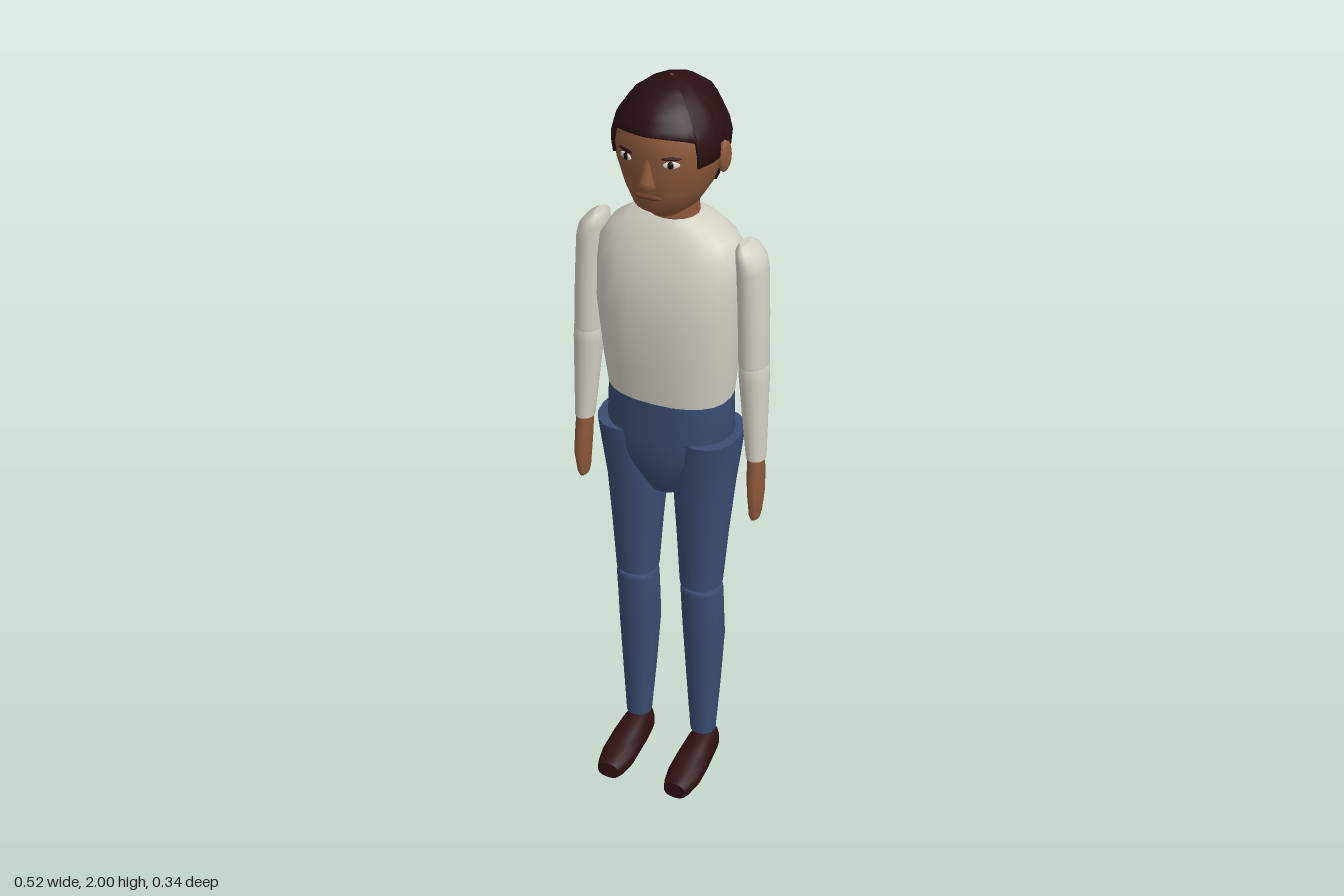
import * as THREE from 'three';

const mat = (name, color, side = THREE.FrontSide) => {
  const m = new THREE.MeshStandardMaterial({ color, side });
  m.name = name;
  return m;
};

// Smooth capped loft through elliptical rings [y, cx, cz, rx, rz]; p > 2 squares the section.
function loft(rings, n = 16, p = 2) {
  const pos = [], idx = [];
  const bend = v => Math.sign(v) * Math.abs(v) ** (2 / p);
  const addRing = ([y, cx, cz, rx, rz]) => {
    const start = pos.length / 3;
    for (let i = 0; i < n; i++) {
      const a = i / n * Math.PI * 2;
      pos.push(cx + rx * bend(Math.sin(a)), y, cz + rz * bend(Math.cos(a)));
    }
    return start;
  };
  const starts = rings.map(addRing);
  for (let j = 0; j < rings.length - 1; j++) {
    for (let i = 0; i < n; i++) {
      const k = (i + 1) % n, a = starts[j], b = starts[j + 1];
      idx.push(a + i, a + k, b + k, a + i, b + k, b + i);
    }
  }
  for (const [ring, top] of [[rings[0], false], [rings[rings.length - 1], true]]) {
    const s = addRing(ring), c = pos.length / 3;
    pos.push(ring[1], ring[0], ring[2]);
    for (let i = 0; i < n; i++) {
      const k = (i + 1) % n;
      idx.push(c, s + (top ? i : k), s + (top ? k : i));
    }
  }
  return surface(pos, idx);
}

function surface(pos, idx) {
  const g = new THREE.BufferGeometry();
  g.setAttribute('position', new THREE.Float32BufferAttribute(pos, 3));
  g.setIndex(idx);
  g.computeVertexNormals();
  return g;
}

// Skull profile: y, cz, rx, rz
const SKULL = [
  [1.663, -0.005, 0.035, 0.05], [1.7, 0, 0.078, 0.098], [1.75, -0.012, 0.108, 0.122],
  [1.8, -0.018, 0.126, 0.137], [1.85, -0.02, 0.135, 0.141], [1.9, -0.02, 0.121, 0.142],
  [1.95, -0.02, 0.088, 0.112], [1.98, -0.02, 0.045, 0.06], [1.992, -0.02, 0.004, 0.004],
];

function skullAt(y) {
  let i = 0;
  while (i < SKULL.length - 2 && y > SKULL[i + 1][0]) i++;
  const t = THREE.MathUtils.clamp((y - SKULL[i][0]) / (SKULL[i + 1][0] - SKULL[i][0]), 0, 1);
  return SKULL[i].map((v, k) => v + (SKULL[i + 1][k] - v) * t);
}

// Hair cap: each column runs from the hairline at its angle up to the crown.
function hairGeometry() {
  const line = [[0, 1.905], [20, 1.904], [42, 1.895], [52, 1.885], [53, 1.82], [70, 1.825],
    [79, 1.83], [80, 1.865], [92, 1.865], [93, 1.755], [115, 1.745], [145, 1.75], [180, 1.775]];
  const cols = [...line, ...line.slice(1, -1).reverse().map(([a, y]) => [360 - a, y])];
  const rows = 9, pos = [], idx = [], n = cols.length;
  for (const [deg, y0] of cols) {
    const a = deg * Math.PI / 180;
    for (let j = -1; j <= rows; j++) {
      const t = Math.max(j, 0) / rows;
      const y = y0 + (1.992 - y0) * (1 - (1 - t) ** 1.5);
      const [, cz, rx, rz] = skullAt(y);
      const k = j < 0 ? 0.97 : 1.055; // first row folds in to close the rim
      pos.push(rx * k * Math.sin(a), y + 0.008 * t, cz + rz * k * Math.cos(a));
    }
  }
  const r = rows + 2;
  for (let i = 0; i < n; i++) {
    const a = i * r, b = ((i + 1) % n) * r;
    for (let j = 0; j < r - 1; j++) idx.push(a + j, b + j, b + j + 1, a + j, b + j + 1, a + j + 1);
  }
  return surface(pos, idx);
}

export function createModel() {
  const model = new THREE.Group();
  model.name = 'standingPerson';
  const skin = mat('skin', 0x8c583a);
  const shirt = mat('shirt', 0xd3cfc3);
  const denim = mat('denim', 0x3a4d72);
  const hair = mat('hair', 0x290f11, THREE.DoubleSide);
  const leather = mat('shoeLeather', 0x2e0f11);
  const white = mat('eyeWhite', 0xe6e0da);
  const iris = mat('iris', 0x1a0d0a);
  const lip = mat('lip', 0x6e3d2b);

  const add = (name, geometry, material, parent = model) => {
    const m = new THREE.Mesh(geometry, material);
    m.name = name;
    parent.add(m);
    return m;
  };
  const blob = (name, material, parent, [x, y, z], [sx, sy, sz], ry = 0) => {
    const m = add(name, new THREE.SphereGeometry(1, 14, 10), material, parent);
    m.position.set(x, y, z);
    m.scale.set(sx, sy, sz);
    m.rotation.y = ry;
    return m;
  };

  // Trunk
  add('shirtBody', loft([
    [1.165, 0, -0.02, 0.16, 0.11], [1.25, 0, -0.015, 0.17, 0.115], [1.4, 0, -0.01, 0.184, 0.121],
    [1.5, 0, -0.018, 0.186, 0.114], [1.56, 0, -0.028, 0.184, 0.104], [1.6, 0, -0.034, 0.158, 0.092],
    [1.63, 0, -0.036, 0.112, 0.078], [1.648, 0, -0.036, 0.066, 0.064],
  ], 24, 2.35), shirt);
  add('pelvis', loft([
    [0.88, 0, -0.01, 0.045, 0.055], [0.91, 0, -0.012, 0.062, 0.075], [0.96, 0, -0.015, 0.115, 0.094],
    [1.0, 0, -0.016, 0.142, 0.103], [1.06, 0, -0.018, 0.164, 0.109], [1.166, 0, -0.02, 0.16, 0.11],
  ], 24, 2.3), denim);
  add('neck', loft([
    [1.62, 0, -0.034, 0.067, 0.062], [1.66, 0, -0.032, 0.063, 0.058], [1.73, 0, -0.03, 0.062, 0.058],
  ]), skin);

  // Head
  const head = new THREE.Group();
  head.name = 'head';
  model.add(head);
  add('face', loft(SKULL.map(([y, cz, rx, rz]) => [y, 0, cz, rx, rz]), 24), skin, head);
  add('hairCap', hairGeometry(), hair, head);
  add('nose', loft([
    [1.765, 0, 0.112, 0.012, 0.008], [1.775, 0, 0.117, 0.023, 0.023],
    [1.79, 0, 0.116, 0.018, 0.02], [1.845, 0, 0.114, 0.008, 0.008],
  ], 10), skin, head);
  blob('mouth', lip, head, [0, 1.744, 0.109], [0.036, 0.007, 0.007]);

  for (const s of [-1, 1]) {
    const side = s > 0 ? 'left' : 'right';

    // Eye, brow and ear
    const onFace = (x, y) => {
      const [, cz, rx, rz] = skullAt(y);
      return [s * x, y, cz + rz * Math.sqrt(1 - (x / rx) ** 2)];
    };
    blob(side + 'EyeWhite', white, head, onFace(0.058, 1.837), [0.02, 0.009, 0.004], s * 0.45);
    blob(side + 'Iris', iris, head, onFace(0.056, 1.837), [0.0095, 0.0095, 0.006], s * 0.45);
    blob(side + 'Brow', hair, head, onFace(0.058, 1.853), [0.024, 0.004, 0.004], s * 0.45);
    blob(side + 'Ear', skin, head, [s * 0.132, 1.818, -0.025], [0.013, 0.042, 0.022], s * -0.25);

    // Arm
    const arm = new THREE.Group();
    arm.name = side + 'Arm';
    model.add(arm);
    add('upperSleeve', loft([
      [1.272, s * 0.222, -0.015, 0.033, 0.04], [1.29, s * 0.221, -0.015, 0.037, 0.045],
      [1.42, s * 0.217, -0.018, 0.037, 0.05], [1.54, s * 0.211, -0.021, 0.037, 0.054],
      [1.57, s * 0.206, -0.021, 0.034, 0.053], [1.593, s * 0.197, -0.021, 0.025, 0.046],
      [1.606, s * 0.19, -0.021, 0.01, 0.028],
    ]), shirt, arm);
    add('lowerSleeve', loft([
      [1.02, s * 0.235, -0.008, 0.025, 0.029], [1.15, s * 0.228, -0.011, 0.032, 0.037],
      [1.25, s * 0.223, -0.014, 0.037, 0.044], [1.28, s * 0.222, -0.015, 0.037, 0.044],
      [1.295, s * 0.222, -0.015, 0.03, 0.036],
    ]), shirt, arm);
    add('hand', loft([
      [0.843, s * 0.238, -0.004, 0.01, 0.02], [0.86, s * 0.238, -0.003, 0.014, 0.028],
      [0.92, s * 0.239, -0.002, 0.019, 0.037], [0.97, s * 0.237, -0.005, 0.021, 0.033],
      [1.03, s * 0.235, -0.008, 0.021, 0.025],
    ], 12), skin, arm);

    // Leg
    const leg = new THREE.Group();
    leg.name = side + 'Leg';
    model.add(leg);
    add('thigh', loft([
      [0.6, s * 0.09, -0.008, 0.054, 0.057], [0.75, s * 0.091, -0.012, 0.064, 0.07],
      [0.9, s * 0.092, -0.018, 0.076, 0.087], [1.0, s * 0.1, -0.018, 0.081, 0.097],
      [1.06, s * 0.107, -0.018, 0.081, 0.102],
    ], 16, 2.2), denim, leg);
    add('shin', loft([
      [0.11, s * 0.094, -0.018, 0.033, 0.034], [0.26, s * 0.093, -0.022, 0.043, 0.047],
      [0.42, s * 0.092, -0.024, 0.052, 0.06], [0.5, s * 0.091, -0.017, 0.053, 0.058],
      [0.578, s * 0.091, -0.01, 0.054, 0.056], [0.588, s * 0.091, -0.01, 0.05, 0.052],
    ], 16, 2.2), denim, leg);

    // Shoe, lofted from heel to toe
    const shoe = loft([
      [-0.062, s * 0.096, -0.05, 0.02, 0.038], [-0.05, s * 0.096, -0.054, 0.032, 0.051],
      [0.0, s * 0.096, -0.053, 0.04, 0.051], [0.06, s * 0.097, -0.045, 0.045, 0.043],
      [0.11, s * 0.097, -0.036, 0.046, 0.034], [0.15, s * 0.097, -0.031, 0.038, 0.029],
      [0.17, s * 0.097, -0.03, 0.031, 0.023],
    ], 14, 2.4);
    shoe.rotateX(Math.PI / 2);
    add('shoe', shoe, leather, leg);
  }
  return model;
}
